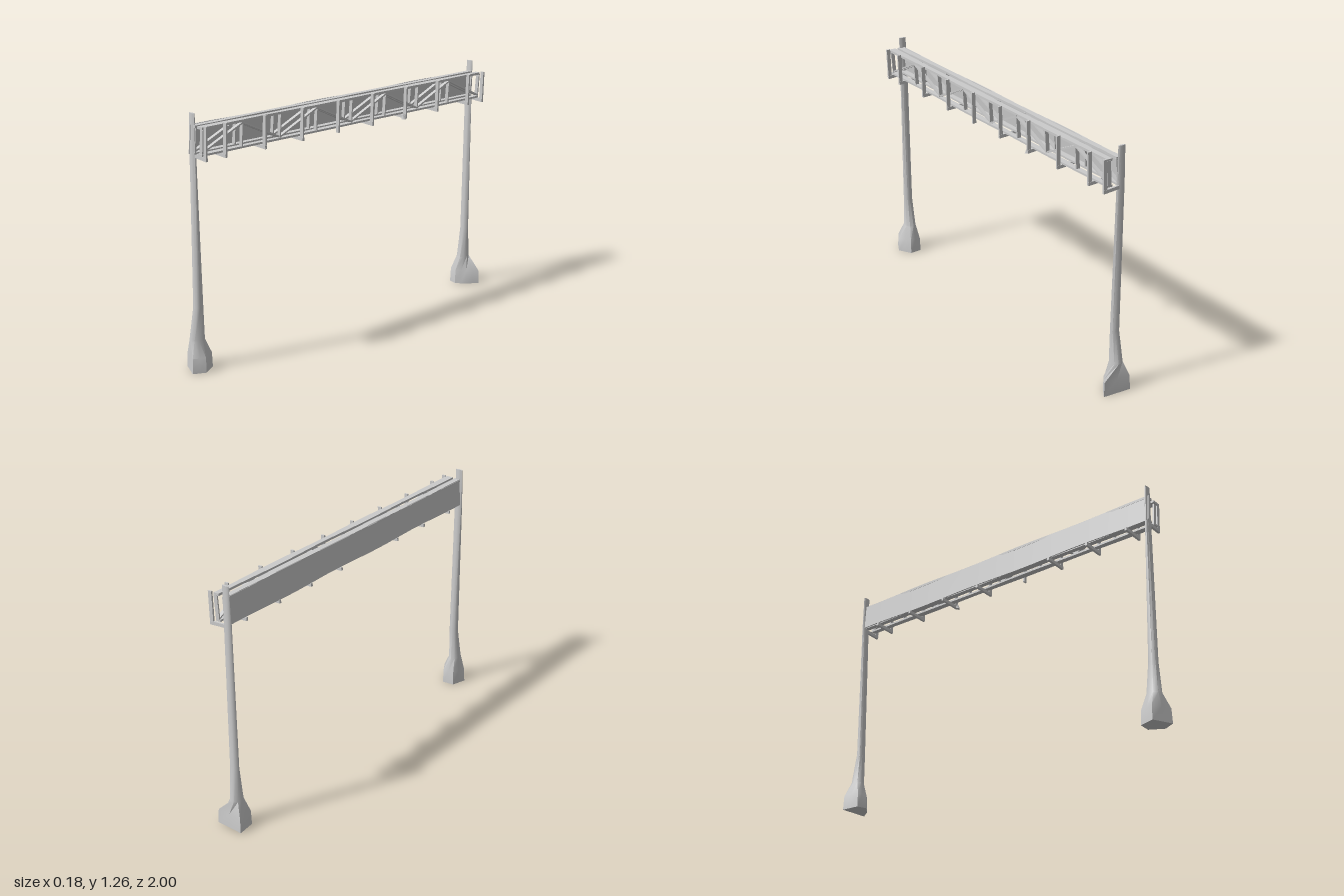
import * as THREE from 'three';
import { toCreasedNormals } from 'three/addons/utils/BufferGeometryUtils.js';

const material = new THREE.MeshStandardMaterial({ color: 0xcccccc, side: THREE.DoubleSide });

function add(group, geometry, name) {
  const mesh = new THREE.Mesh(geometry, material);
  mesh.name = name;
  group.add(mesh);
  return mesh;
}

// Rectangular bar between two points; w is its width across x, d its other thickness
function bar(group, name, from, to, w, d) {
  const a = new THREE.Vector3(...from), b = new THREE.Vector3(...to);
  const dir = b.clone().sub(a);
  const mesh = add(group, new THREE.BoxGeometry(w, dir.length(), d), name);
  mesh.position.copy(a).add(b).multiplyScalar(0.5);
  mesh.quaternion.setFromUnitVectors(new THREE.Vector3(0, 1, 0), dir.normalize());
  return mesh;
}

// Closed loft through rings of equal point count
function loft(rings) {
  const n = rings[0].length, pos = rings.flat(2), index = [];
  for (let r = 0; r < rings.length - 1; r++) {
    for (let i = 0; i < n; i++) {
      const a = r * n + i, b = r * n + (i + 1) % n;
      index.push(a, a + n, b, b, a + n, b + n);
    }
  }
  const top = (rings.length - 1) * n;
  for (let i = 1; i < n - 1; i++) index.push(0, i, i + 1, top, top + i + 1, top + i);
  const g = new THREE.BufferGeometry();
  g.setAttribute('position', new THREE.Float32BufferAttribute(pos, 3));
  g.setIndex(index);
  return toCreasedNormals(g, 0.7);
}

// Post: rough five-cornered foot, then a tapering oval shaft
function post(group, name, foot, cz, ovals) {
  const footRing = (y, s) => foot.flatMap(([x, z], i) => {
    const [x2, z2] = foot[(i + 1) % foot.length];
    const place = (px, pz) => [-0.02 + (px + 0.02) * s, y, cz + (pz - cz) * s];
    return [place(x, z), place((x + x2) / 2, (z + z2) / 2)];
  });
  const start = Math.atan2(foot[0][1] - cz, foot[0][0] + 0.02);
  const ovalRing = ([y, x, z, rx, rz]) => Array.from({ length: 10 }, (_, i) => {
    const t = start + i * Math.PI / 5;
    return [x + rx * Math.cos(t), y, z + rz * Math.sin(t)];
  });
  add(group, loft([footRing(0.005, 1), footRing(0.08, 0.95), ...ovals.map(ovalRing)]), name);
}

// Thin strip along z with slightly uneven edges
function strip(group, name, size, position, wave, axis) {
  const g = new THREE.BoxGeometry(...size, 1, 1, 16);
  const p = g.attributes.position;
  for (let i = 0; i < p.count; i++) {
    const v = p.getComponent(i, axis);
    p.setComponent(i, axis, v + Math.sign(v) * wave * Math.sin(p.getZ(i) * 9));
  }
  g.computeVertexNormals();
  const mesh = add(group, toCreasedNormals(g, 0.6), name);
  mesh.position.set(...position);
  return mesh;
}

export function createModel() {
  const model = new THREE.Group();
  model.name = 'gantry';

  // Posts
  post(model, 'frontPost',
    [[-0.09, 0.955], [-0.065, 0.875], [0, 0.87], [0.04, 0.94], [0.01, 1]], 0.93, [
      [0.155, -0.033, 0.935, 0.031, 0.04],
      [0.32, -0.023, 0.931, 0.024, 0.024],
      [1.08, -0.022, 0.938, 0.022, 0.011],
      [1.265, -0.019, 0.94, 0.02, 0.006]]);
  post(model, 'backPost',
    [[-0.09, -1], [0.06, -0.99], [0.02, -0.93], [-0.03, -0.89], [-0.08, -0.905]], -0.95, [
      [0.155, -0.033, -0.955, 0.031, 0.036],
      [0.32, -0.023, -0.95, 0.024, 0.018],
      [1.08, -0.022, -0.957, 0.022, 0.011],
      [1.265, -0.019, -0.96, 0.02, 0.006]]);

  // Solid panel along the side of the span
  const span = new THREE.Group();
  span.name = 'span';
  model.add(span);
  const panel = strip(span, 'sidePanel', [0.006, 0.138, 1.91], [-0.029, 1.141, -0.005], 0.003, 1);
  panel.rotation.z = -0.08;

  // Chords
  for (const [x, side] of [[-0.01, 'inner'], [0.043, 'outer']]) {
    strip(span, side + 'TopChord', [0.033, 0.012, 1.9], [x, 1.204, -0.005], 0.003, 0);
    strip(span, side + 'BottomChord', [0.03, 0.01, 1.9], [x - 0.006, 1.076, -0.005], 0.002, 0);
  }

  // Truss webs: verticals at every node, diagonals zigzagging between the chords
  const nodes = Array.from({ length: 9 }, (_, i) => 0.935 - i * 0.236);
  for (const [low, high] of [[-0.015, -0.003], [0.038, 0.048]]) {
    nodes.forEach((z, i) => {
      bar(span, 'webVertical', [low, 1.075, z], [high, 1.202, z], 0.02, 0.007);
      if (i === nodes.length - 1) return;
      const up = i % 2 === 0;
      bar(span, 'webDiagonal',
        [up ? low : high, up ? 1.085 : 1.195, z],
        [up ? high : low, up ? 1.195 : 1.085, nodes[i + 1]], 0.018, 0.008);
    });
  }

  // Cross bearers and outer uprights
  for (const z of [0.935, 0.82, 0.58, 0.342, 0.104, -0.132, -0.37, -0.608, -0.846, -0.96]) {
    const atEnd = Math.abs(z) > 0.9;
    bar(span, 'outerUpright', [0.068, 1.052, z], [0.074, 1.215, z], 0.02, 0.009);
    if (z !== 0.104) {
      bar(span, 'crossBearer', [atEnd ? -0.01 : -0.042, 1.064, z], [0.078, 1.058, z], 0.017, 0.012);
    }
  }

  // Small bracket under the span
  const bracket = add(span, new THREE.ConeGeometry(0.016, 0.03, 4), 'bracket');
  bracket.position.set(0.07, 1.062, -0.36);
  return model;
}
